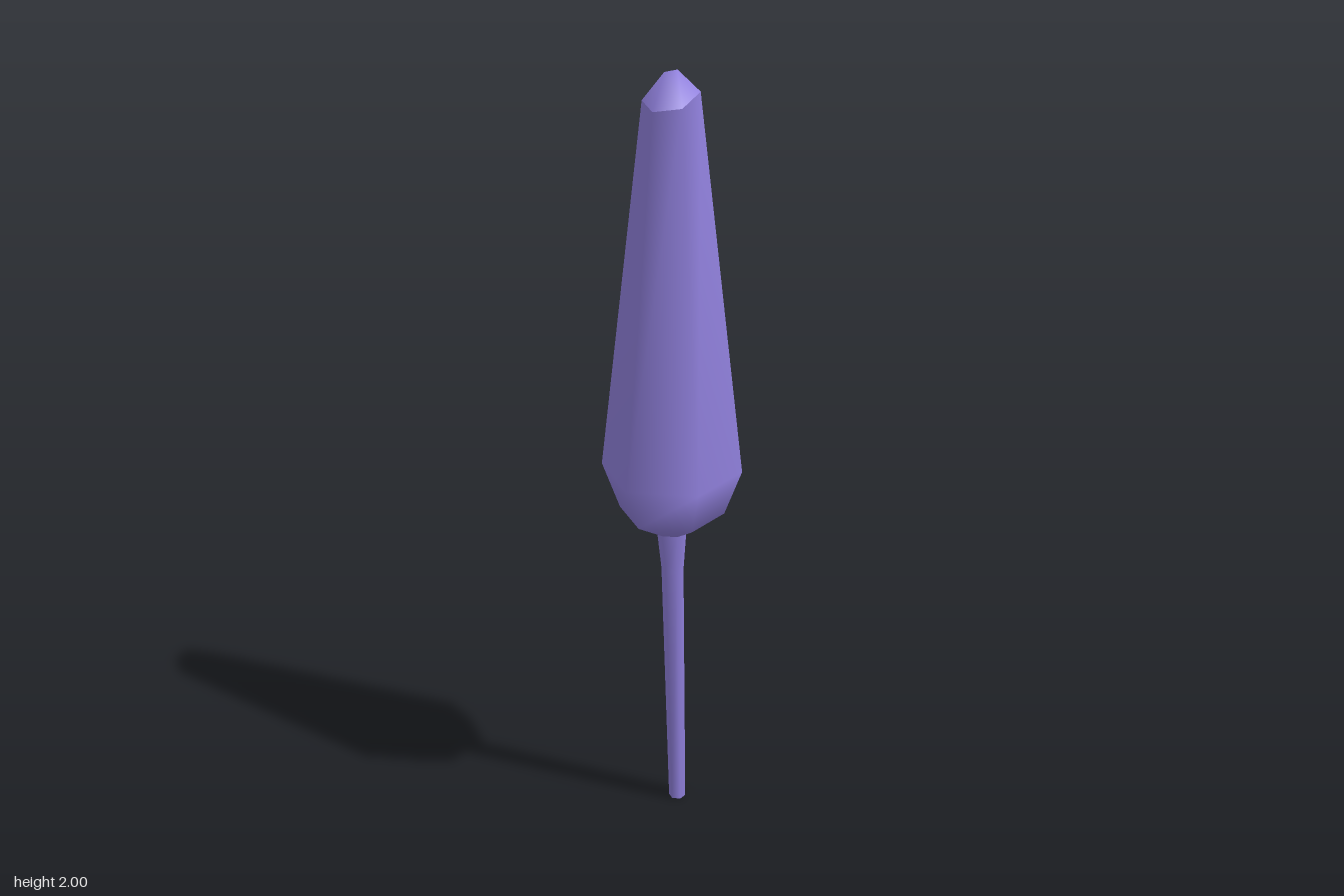
import * as THREE from 'three';
import { mergeVertices } from 'three/addons/utils/BufferGeometryUtils.js';

const SIDES = 6;
const START = THREE.MathUtils.degToRad(14.5);
const purple = new THREE.MeshStandardMaterial({ color: 0x9080dc });

// Horizontal six-sided ring centred on (x, z)
function ring(r, y, x = 0, z = 0) {
  return Array.from({ length: SIDES }, (_, i) => {
    const a = START + (i / SIDES) * Math.PI * 2;
    return [x + r * Math.cos(a), y, z + r * Math.sin(a)];
  });
}

// Smooth skin through rings listed from bottom to top
function loft(name, rings) {
  const index = [];
  for (let i = 0; i < rings.length - 1; i++) {
    for (let j = 0; j < SIDES; j++) {
      const k = (j + 1) % SIDES;
      const a = i * SIDES + j, b = i * SIDES + k;
      const c = a + SIDES, d = b + SIDES;
      index.push(a, c, b, b, c, d);
    }
  }
  let geometry = new THREE.BufferGeometry();
  geometry.setAttribute('position', new THREE.Float32BufferAttribute(rings.flat(2), 3));
  geometry.setIndex(index);
  geometry = mergeVertices(geometry, 1e-4);
  geometry.computeVertexNormals();
  const mesh = new THREE.Mesh(geometry, purple);
  mesh.name = name;
  return mesh;
}

export function createModel() {
  const group = new THREE.Group();
  group.name = 'closedFlower';

  // Leaning stem, flared where it meets the bud
  const foot = ring(0.022, 0, -0.06, -0.062);
  const neck = ring(0.037, 0.835, -0.01, -0.007);
  group.add(loft('stem', [foot, ring(0.028, 0.73, -0.009, -0.009), neck]));
  group.add(loft('stemEnd', [ring(0, 0, -0.06, -0.062), foot]));

  // Closed petals with an uneven rim
  const rimHeights = [1.93, 1.92, 1.93, 1.965, 1.95, 1.955];
  const rim = ring(0.067, 0, 0.006, 0.006).map(([x, , z], i) => [x, rimHeights[i], z]);
  group.add(loft('bud', [neck, ring(0.13, 0.897, -0.003, -0.003), ring(0.173, 1.015), rim]));

  // Folded tip: a short ridge with a dip beside it
  const front = [0.006, 2, 0.025], back = [0.006, 2, -0.012], dip = [-0.032, 1.953, 0.004];
  const middle = [-0.007, 1.984, 0.006];
  group.add(loft('tip', [
    rim,
    [front, front, dip, dip, back, back],
    Array(SIDES).fill(middle),
  ]));

  return group;
}
